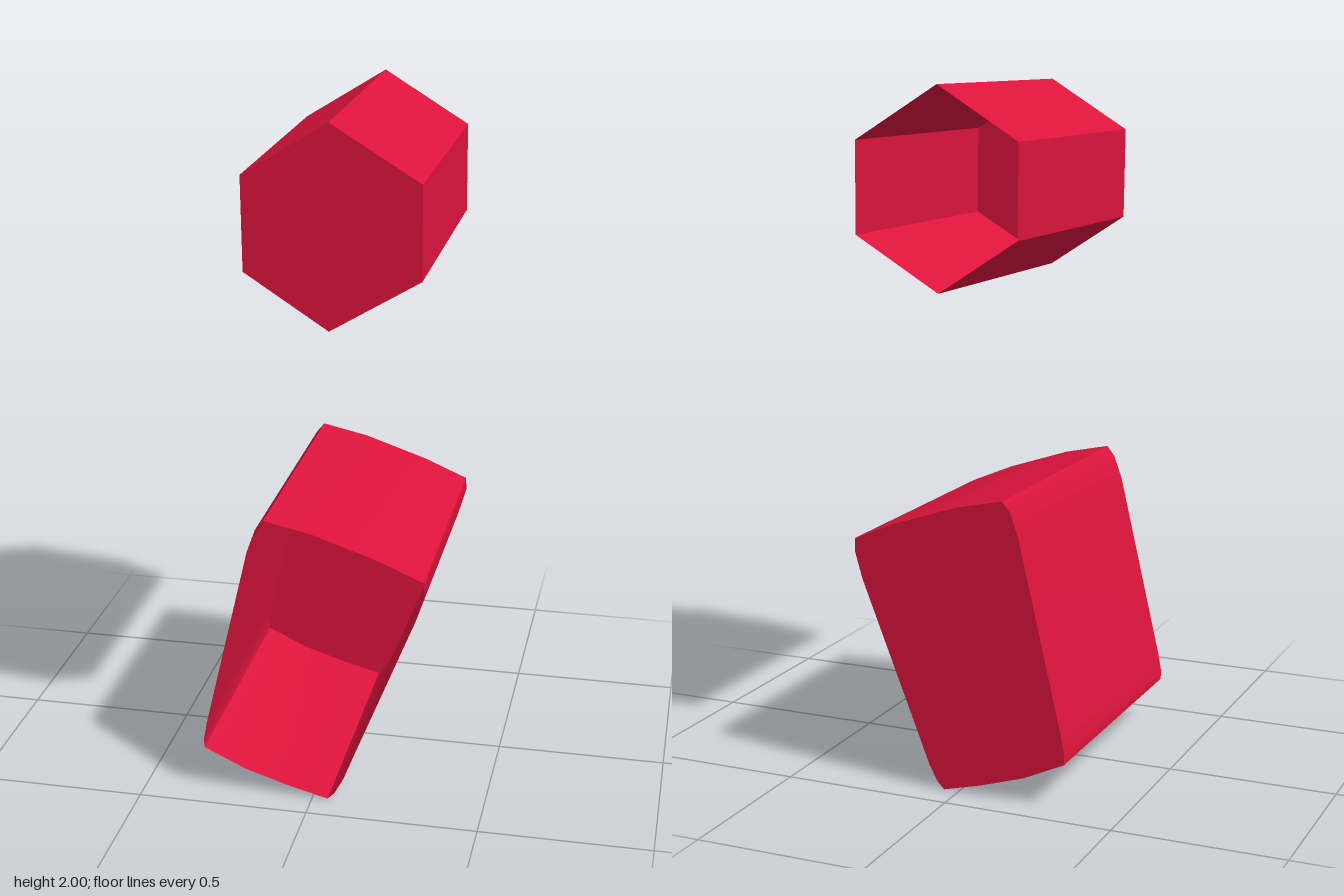
import * as THREE from 'three';

const HALF_DEPTH = 0.41;

// One side wall: an [x, y] polyline swept along z, smooth within itself
function wall(points, material, name) {
  const positions = [], indices = [];
  points.forEach(([x, y], i) => {
    positions.push(x, y, HALF_DEPTH, x, y, -HALF_DEPTH);
    if (i === points.length - 1) return;
    const f = 2 * i;
    indices.push(f, f + 2, f + 3, f, f + 3, f + 1);
  });
  const geometry = new THREE.BufferGeometry();
  geometry.setAttribute('position', new THREE.Float32BufferAttribute(positions, 3));
  geometry.setIndex(indices);
  geometry.computeVertexNormals();
  const mesh = new THREE.Mesh(geometry, material);
  mesh.name = name;
  return mesh;
}

// Thin-walled tube, closed by a flat cap at one end and open at the other.
// Sides run clockwise; each starts where the previous one ends.
function cappedTube(name, sides, capZ, material) {
  const group = new THREE.Group();
  group.name = name;
  sides.forEach((side, i) => {
    const next = sides[(i + 1) % sides.length][0];
    group.add(wall([...side, next], material, `${name}Wall${i + 1}`));
  });
  const outline = sides.flat().map(([x, y]) => new THREE.Vector2(x, y));
  const cap = new THREE.Mesh(new THREE.ShapeGeometry(new THREE.Shape(outline)), material);
  cap.position.z = capZ;
  cap.name = `${name}Cap`;
  group.add(cap);
  return group;
}

export function createModel() {
  const crimson = new THREE.MeshStandardMaterial({ color: 0xdc143c, side: THREE.DoubleSide });
  crimson.name = 'crimson';
  const model = new THREE.Group();
  model.name = 'twoOpenTubes';

  // Upper hexagonal tube, closed at the front
  const hexagon = [
    [[0.052, 2]], [[0.302, 1.847]], [[0.304, 1.586]],
    [[0.052, 1.434]], [[-0.184, 1.587]], [[-0.188, 1.851]],
  ];
  model.add(cappedTube('hexagonTube', hexagon, HALF_DEPTH, crimson));

  // Lower leaning tube with bowed ends, closed at the back
  const leaning = [
    [[-0.138, 0.868], [0, 0.838], [0.19, 0.774]],                                             // top
    [[0.321, 0.718], [0.323, 0.68], [0.3, 0.6], [0.119, 0.14], [0.092, 0.07], [0.065, 0.02]], // right
    [[0.045, 0], [-0.071, 0.03], [-0.203, 0.072]],                                            // bottom
    [[-0.325, 0.129], [-0.327, 0.155], [-0.316, 0.214], [-0.187, 0.768], [-0.162, 0.838]],    // left
  ];
  model.add(cappedTube('leaningTube', leaning, -HALF_DEPTH, crimson));

  return model;
}
